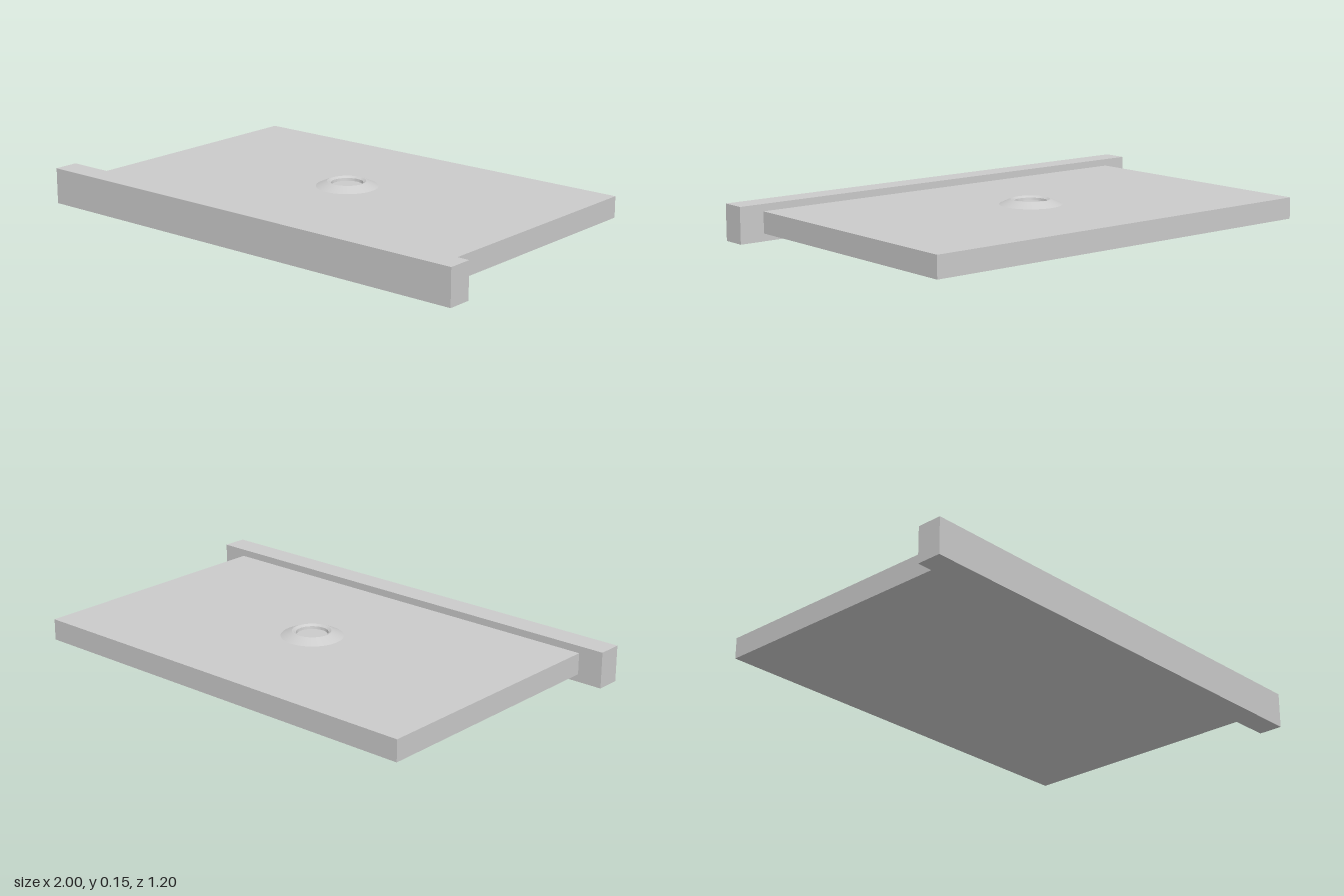
import * as THREE from 'three';
import { toCreasedNormals } from 'three/addons/utils/BufferGeometryUtils.js';

export function createModel() {
  const model = new THREE.Group();
  const material = new THREE.MeshStandardMaterial({ color: 0xcccccc });

  function add(name, geometry, x, y, z) {
    const mesh = new THREE.Mesh(geometry, material);
    mesh.name = name;
    mesh.position.set(x, y, z);
    model.add(mesh);
  }

  // Flat panel with a taller, wider strip along its front edge
  add('panel', new THREE.BoxGeometry(1.79, 0.087, 1.096), 0, 0.0745, -0.05);
  add('frontStrip', new THREE.BoxGeometry(2, 0.147, 0.102), 0, 0.0735, 0.549);

  // Low conical boss with a shallow round recess, turned from outside to centre
  const profile = [
    [0.125, 0], [0.08, 0.021], [0.075, 0.021], [0.064, 0.014], [0.062, 0.003], [0, 0.003],
  ].map(([r, y]) => new THREE.Vector2(r, y));
  const boss = toCreasedNormals(new THREE.LatheGeometry(profile, 48), 0.35);
  add('boss', boss, 0, 0.118, -0.04);

  return model;
}
